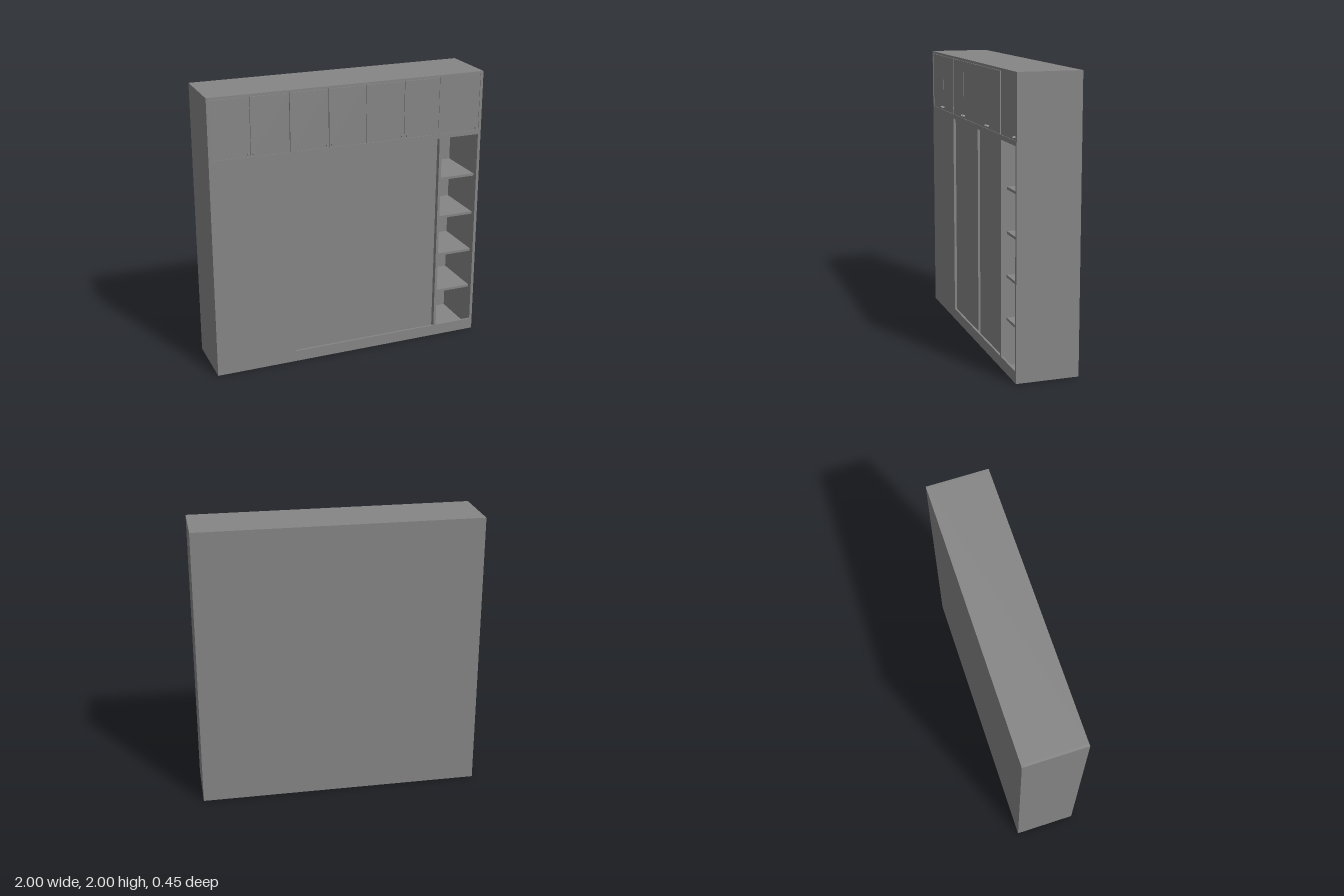
import * as THREE from 'three';

export function createModel() {
  const model = new THREE.Group();
  const material = new THREE.MeshStandardMaterial({ color: 0x858585 });
  const BACK = -0.225, FRONT = 0.209, T = 0.015;

  // Box given by its limits on each axis
  const panel = (name, x0, x1, y0, y1, z0 = BACK + T, z1 = FRONT) => {
    const mesh = new THREE.Mesh(new THREE.BoxGeometry(x1 - x0, y1 - y0, z1 - z0), material);
    mesh.position.set((x0 + x1) / 2, (y0 + y1) / 2, (z0 + z1) / 2);
    mesh.name = name;
    model.add(mesh);
  };

  // Carcass
  panel('backPanel', -1, 1, 0, 2, BACK, BACK + T);
  panel('rightSide', -1, -0.982, 0, 2);
  panel('leftSide', 0.979, 1, 0, 2);
  panel('topPanel', -0.982, 0.979, 1.983, 2);
  panel('floor', -0.982, 0.979, 0, T, BACK + T, FRONT - T);
  panel('plinth', -0.982, 0.979, 0, 0.08, FRONT - T, FRONT);
  panel('middleRail', -0.982, 0.979, 1.543, 1.575);
  panel('wardrobeDivider', -0.44, -0.423, T, 1.543, BACK + T, FRONT - T);
  panel('wardrobeDividerFront', -0.44, -0.423, 0.08, 1.543, FRONT - T, FRONT);
  panel('shelfDivider', 0.675, 0.694, T, 1.543, BACK + T, FRONT - T);
  panel('shelfDividerFront', 0.675, 0.694, 0.08, 1.543, FRONT - T, FRONT);

  // Flush tall door and the two recessed sliding doors
  panel('tallDoor', -0.982, -0.44, 0.08, 1.543, FRONT - 0.02, FRONT);
  panel('frontSlidingDoor', -0.423, 0.127, T, 1.543, FRONT - 0.033, FRONT - 0.018);
  panel('rearSlidingDoor', 0.09, 0.675, T, 1.543, FRONT - 0.05, FRONT - 0.035);

  // Open shelves
  for (const y of [0.331, 0.625, 0.921, 1.217]) {
    panel('shelf', 0.694, 0.979, y, y + 0.018, BACK + T, FRONT - 0.04);
  }

  // Upper cupboard: uprights a little proud of the doors
  const doorFace = FRONT - 0.004;
  panel('upperUpright', -0.436, -0.424, 1.575, 1.983);
  panel('upperUpright', 0.664, 0.677, 1.575, 1.983);

  // Upper doors with hairline gaps between them and above
  const doors = [
    [-0.982, -0.712], [-0.709, -0.439], [-0.424, -0.161],
    [-0.157, 0.112], [0.115, 0.397], [0.4, 0.664],
  ];
  for (const [x0, x1] of doors) {
    panel('upperDoor', x0, x1, 1.575, 1.98, FRONT - 0.022, doorFace);
  }
  panel('upperEndDoor', 0.677, 0.979, 1.575, 1.983, FRONT - 0.022, doorFace);

  // Small round knobs
  const knobGeometry = new THREE.CylinderGeometry(0.008, 0.008, 0.018, 16).rotateX(Math.PI / 2);
  for (const x of [-0.73, -0.692, -0.175, -0.137, 0.382, 0.42, 0.957]) {
    const knob = new THREE.Mesh(knobGeometry, material);
    knob.position.set(x, 1.594, doorFace + 0.009);
    knob.name = 'knob';
    model.add(knob);
  }
  return model;
}
